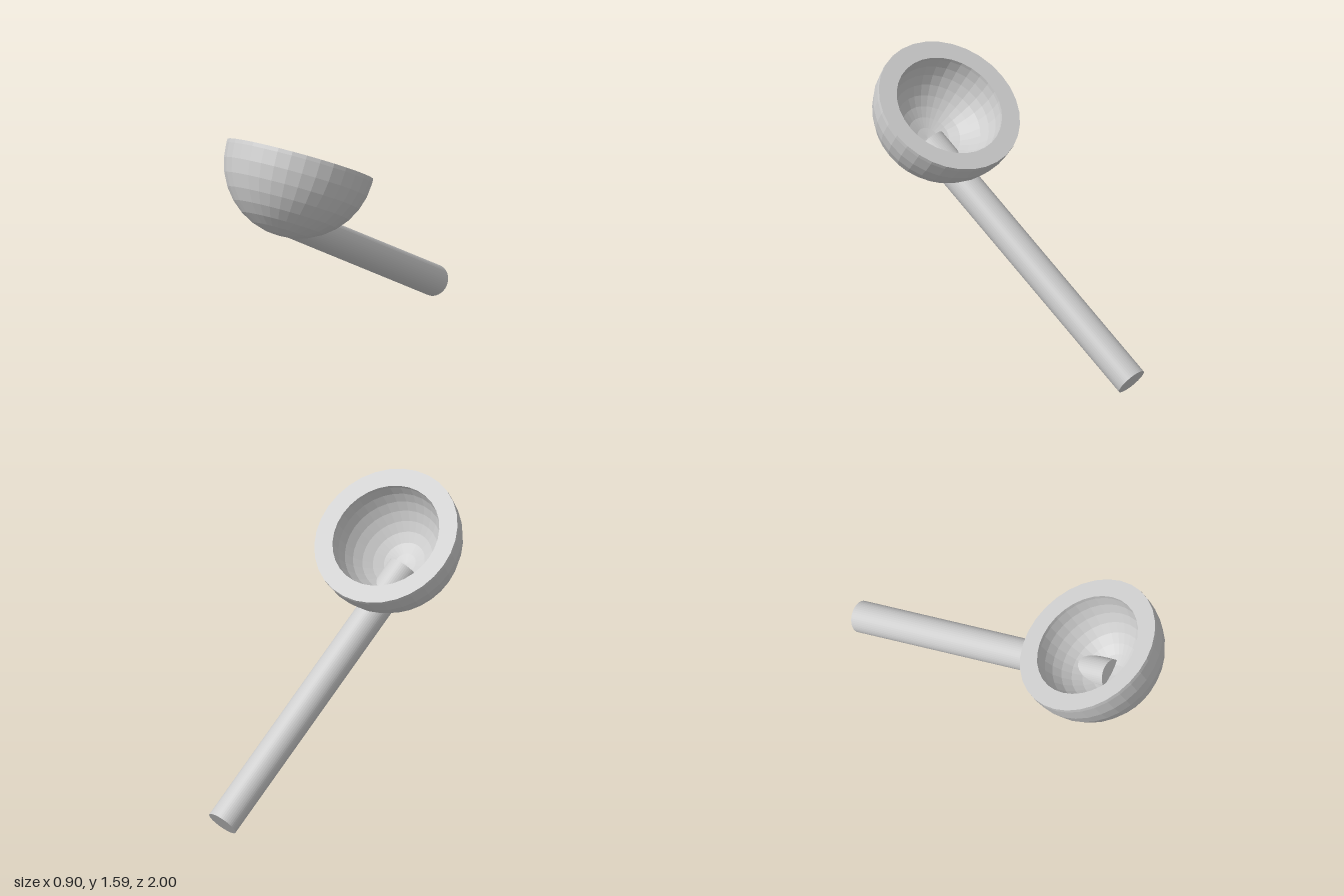
import * as THREE from 'three';

export function createModel() {
  const model = new THREE.Group();
  model.name = 'scoop';
  const facetedMaterial = new THREE.MeshStandardMaterial({ color: 0xcccccc, flatShading: true });

  // Tilted frame with its origin at the centre of the rim
  const tilted = new THREE.Group();
  tilted.name = 'tiltedScoop';
  tilted.position.set(0, 1.37, 0.542);
  tilted.rotation.x = -Math.PI / 6;
  model.add(tilted);

  // Bowl: two concentric spheres cut just above their centre, joined by a flat rim
  const cut = 0.024;
  const rows = 8;
  const arc = (radius) => {
    const points = [];
    for (let i = 0; i <= rows; i++) {
      const a = (i / rows) * Math.PI / 2;
      points.push(new THREE.Vector2(radius * Math.sin(a), -cut - radius * Math.cos(a)));
    }
    points[0].x = 0;
    points.push(new THREE.Vector2(Math.sqrt(radius * radius - cut * cut), 0));
    return points;
  };
  const profile = [...arc(0.45), ...arc(0.336).reverse()];
  const bowl = new THREE.Mesh(new THREE.LatheGeometry(profile, 32), facetedMaterial);
  bowl.name = 'bowl';
  tilted.add(bowl);

  // Handle: a rod parallel to the rim whose end pokes through the bowl floor
  const length = 1.905;
  const handle = new THREE.Mesh(new THREE.CylinderGeometry(0.095, 0.095, length, 48), facetedMaterial);
  handle.name = 'handle';
  handle.rotation.x = Math.PI / 2;
  handle.position.set(0, -0.368, -0.027 - length / 2);
  tilted.add(handle);

  return model;
}
